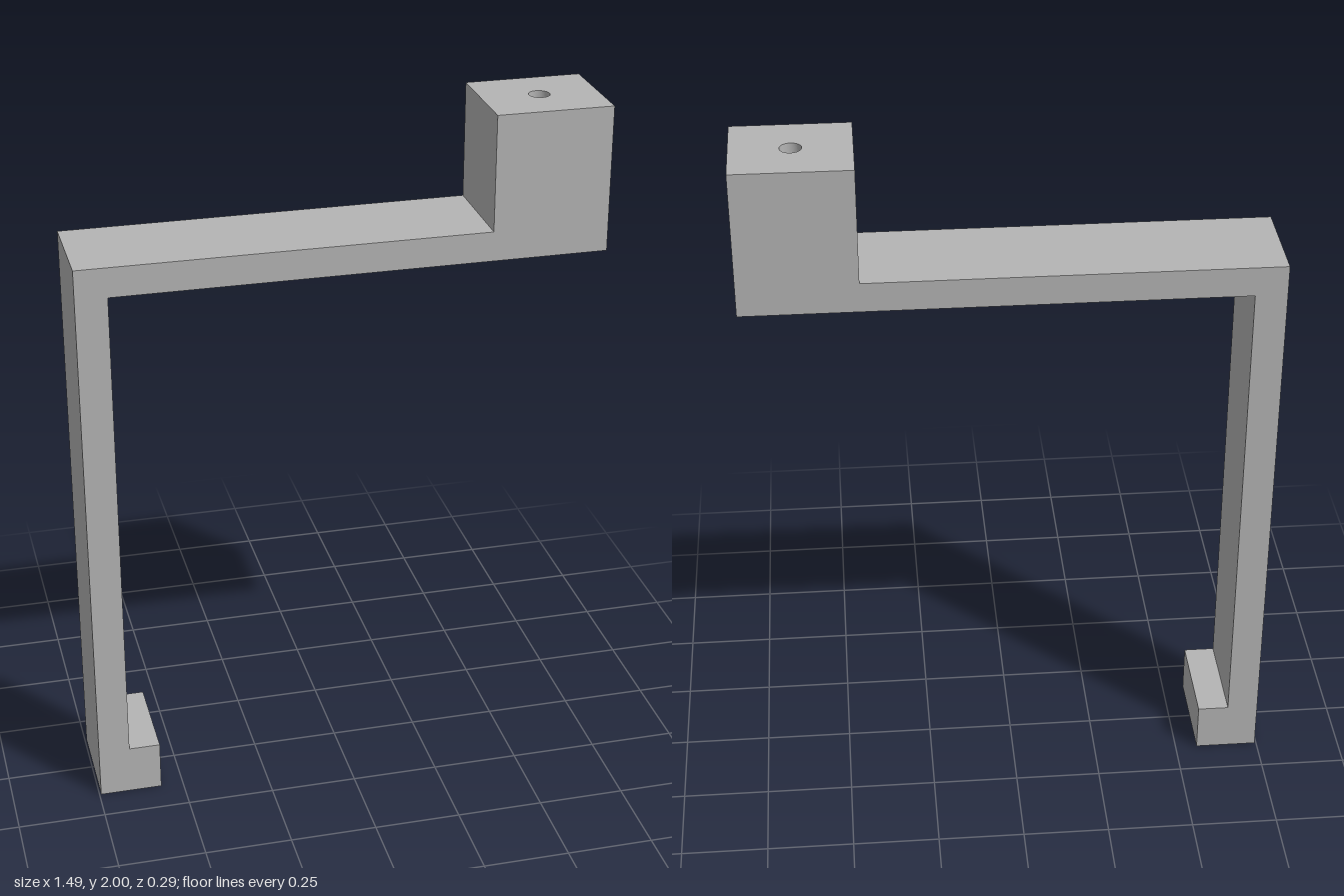
import * as THREE from 'three';

const DEPTH = 0.294;
const BLOCK = { x0: 0.414, x1: 0.745, y0: 1.581, y1: 2 };
const HOLE_RADIUS = 0.03;

export function createModel() {
  const group = new THREE.Group();
  group.name = 'hookBracket';
  const grey = new THREE.MeshStandardMaterial({ color: 0xb4b4b4 });
  grey.name = 'grey';

  // Upright with a small toe at the foot and a horizontal arm at the top
  const profile = new THREE.Shape([
    [-0.745, 0], [-0.565, 0], [-0.565, 0.146], [-0.655, 0.146],
    [-0.655, BLOCK.y0], [BLOCK.x0, BLOCK.y0], [BLOCK.x0, 1.667], [-0.745, 1.667],
  ].map(([x, y]) => new THREE.Vector2(x, y)));
  const armGeometry = new THREE.ExtrudeGeometry(profile, { depth: DEPTH, bevelEnabled: false });
  armGeometry.translate(0, 0, -DEPTH / 2);
  const arm = new THREE.Mesh(armGeometry, grey);
  arm.name = 'hookArm';
  group.add(arm);

  // End block with a vertical hole right through it
  const { x0, x1, y0, y1 } = BLOCK;
  const h = DEPTH / 2;
  const plan = new THREE.Shape([
    new THREE.Vector2(x0, -h), new THREE.Vector2(x1, -h),
    new THREE.Vector2(x1, h), new THREE.Vector2(x0, h),
  ]);
  const hole = new THREE.Path();
  hole.absarc((x0 + x1) / 2, 0, HOLE_RADIUS, 0, Math.PI * 2, true);
  plan.holes.push(hole);
  const blockGeometry = new THREE.ExtrudeGeometry(plan, {
    depth: y1 - y0, bevelEnabled: false, curveSegments: 32,
  });
  blockGeometry.rotateX(-Math.PI / 2);
  blockGeometry.translate(0, y0, 0);
  const block = new THREE.Mesh(blockGeometry, grey);
  block.name = 'drilledBlock';
  group.add(block);

  return group;
}
